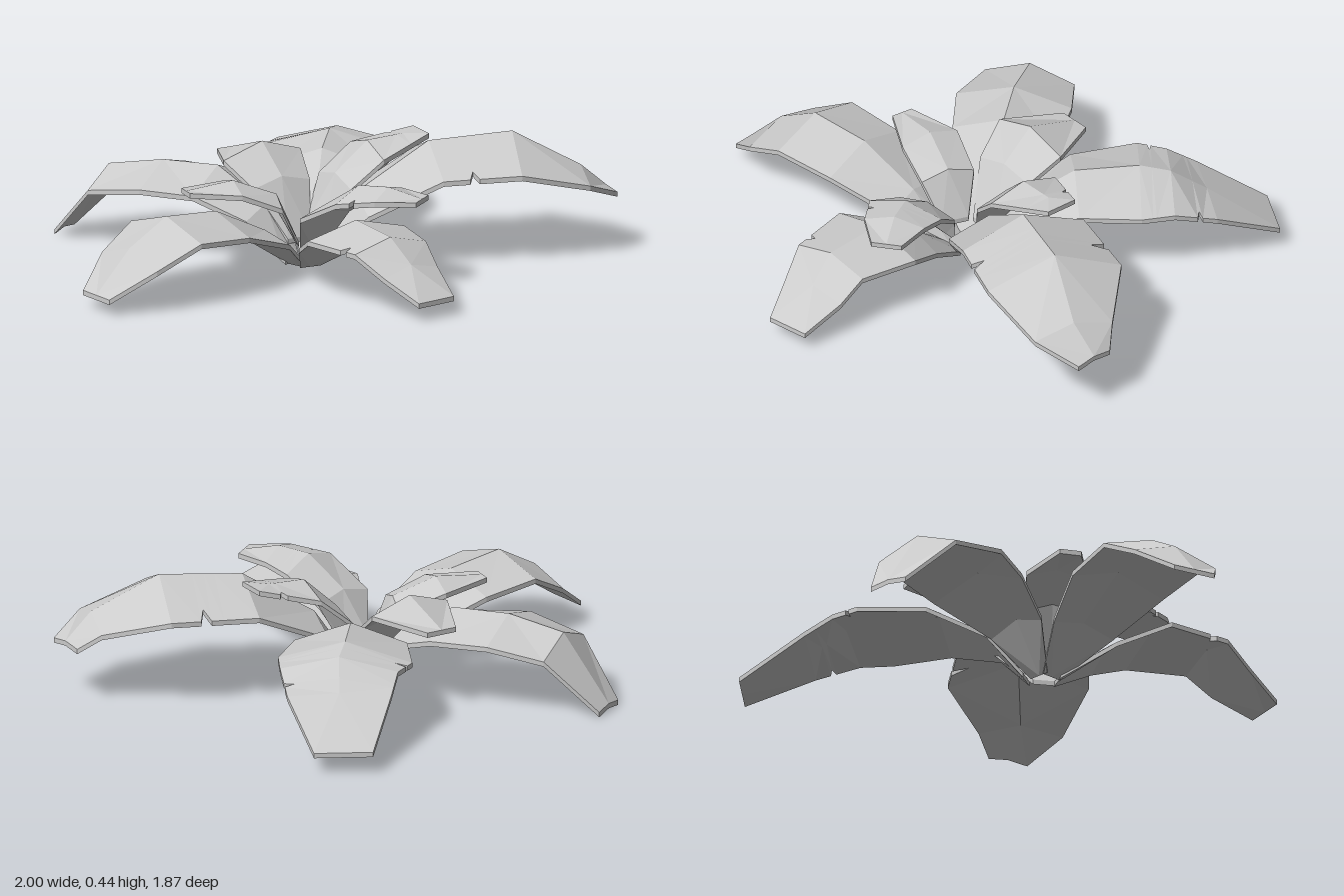
import * as THREE from 'three';

const THICK = 0.018;
const material = new THREE.MeshStandardMaterial({ color: 0xcccccc, flatShading: true });

// Rows along the spine: [x, y, z, half width, droop of the edges].
// Tears: [position counted in rows, side (1 left, -1 right), depth].
function makeLeaf(name, rows, tears = []) {
  const sections = rows.map((r, i) => {
    const a = rows[Math.max(i - 1, 0)], b = rows[Math.min(i + 1, rows.length - 1)];
    const side = new THREE.Vector3(b[2] - a[2], 0, a[0] - b[0]).normalize();
    const mid = new THREE.Vector3(r[0], r[1], r[2]);
    const edge = (s) => mid.clone().addScaledVector(side, s * r[3]).setY(r[1] - r[4]);
    return { at: i, pts: [edge(1), mid, edge(-1)] };
  });

  // Each tear adds three close sections, the middle one cut inwards
  const extra = [];
  for (const [at, s, depth] of tears) {
    for (const d of [-0.06, 0, 0.06]) {
      const i = Math.floor(at + d), f = at + d - i;
      const pts = sections[i].pts.map((p, k) => p.clone().lerp(sections[i + 1].pts[k], f));
      if (d === 0) pts[s > 0 ? 0 : 2].lerp(pts[1], depth);
      extra.push({ at: at + d, pts });
    }
  }
  const all = [...sections, ...extra].sort((a, b) => a.at - b.at);

  // Closed ring of six points per section: three on top, three below
  const pos = [], index = [];
  for (const { pts: [l, m, r] } of all) {
    for (const p of [l, m, r]) pos.push(p.x, p.y, p.z);
    for (const p of [r, m, l]) pos.push(p.x, p.y - THICK, p.z);
  }
  const quad = (a, b, c, d, flip) =>
    flip ? index.push(a, b, d, b, c, d) : index.push(a, b, c, a, c, d);
  for (let i = 0; i < all.length - 1; i++) {
    for (let k = 0; k < 6; k++) {
      const n = (k + 1) % 6, o = i * 6;
      quad(o + k, o + n, o + 6 + n, o + 6 + k, (i + k) % 2);
    }
  }
  const e = (all.length - 1) * 6;
  quad(5, 4, 1, 0);
  quad(4, 3, 2, 1);
  quad(e, e + 1, e + 4, e + 5);
  quad(e + 1, e + 2, e + 3, e + 4);

  const indexed = new THREE.BufferGeometry();
  indexed.setAttribute('position', new THREE.Float32BufferAttribute(pos, 3));
  indexed.setIndex(index);
  const geometry = indexed.toNonIndexed();
  geometry.computeVertexNormals();
  const mesh = new THREE.Mesh(geometry, material);
  mesh.name = name;
  return mesh;
}

export function createModel() {
  const plant = new THREE.Group();
  plant.name = 'leafyPlant';

  // Five large arching leaves
  plant.add(
    makeLeaf('largeLeafLeft', [
      [-0.04, 0.02, 0.16, 0.04, 0], [0.1, 0.25, 0.1, 0.16, 0.05],
      [0.35, 0.42, 0.0, 0.235, 0.09], [0.64, 0.44, -0.085, 0.25, 0.1],
      [0.88, 0.31, -0.13, 0.15, 0.04], [0.965, 0.22, -0.195, 0.075, 0.01],
    ], [[2.6, 1, 0.25], [2.4, -1, 0.18]]),
    makeLeaf('largeLeafRight', [
      [-0.12, 0.02, 0.16, 0.04, 0], [-0.22, 0.2, 0.1, 0.12, 0.04],
      [-0.4, 0.31, 0.0, 0.19, 0.07], [-0.6, 0.31, -0.055, 0.21, 0.06],
      [-0.8, 0.27, -0.13, 0.165, 0.06], [-0.965, 0.03, -0.2, 0.075, 0.01],
    ]),
    makeLeaf('largeLeafBack', [
      [-0.06, 0.03, 0.1, 0.04, 0], [-0.05, 0.2, -0.02, 0.11, 0.03],
      [-0.05, 0.32, -0.22, 0.2, 0.07], [-0.045, 0.33, -0.45, 0.24, 0.07],
      [-0.03, 0.31, -0.56, 0.21, 0.05], [-0.04, 0.22, -0.69, 0.185, 0.01],
      [-0.07, 0.08, -0.93, 0.105, 0],
    ], [[3.4, 1, 0.2], [4.6, -1, 0.18]]),
    makeLeaf('largeLeafFrontRight', [
      [-0.1, 0.02, 0.2, 0.04, 0], [-0.2, 0.17, 0.34, 0.13, 0.03],
      [-0.36, 0.28, 0.5, 0.19, 0.06], [-0.52, 0.3, 0.66, 0.2, 0.06],
      [-0.64, 0.21, 0.77, 0.165, 0.05], [-0.75, 0.06, 0.865, 0.08, 0],
    ]),
    makeLeaf('largeLeafFrontLeft', [
      [-0.05, 0.02, 0.21, 0.04, 0], [0.04, 0.16, 0.36, 0.13, 0.03],
      [0.14, 0.26, 0.5, 0.2, 0.05], [0.28, 0.25, 0.68, 0.155, 0.04],
      [0.36, 0.17, 0.75, 0.125, 0.03], [0.46, 0.07, 0.85, 0.08, 0],
    ], [[2.75, -1, 0.2]]),
  );

  // Four small upright inner leaves
  plant.add(
    makeLeaf('smallLeafBackRight', [
      [-0.1, 0.08, 0.1, 0.05, 0], [-0.17, 0.28, 0.02, 0.12, 0.03],
      [-0.25, 0.38, -0.08, 0.16, 0.05], [-0.375, 0.31, -0.25, 0.06, 0],
    ]),
    makeLeaf('smallLeafBackLeft', [
      [-0.05, 0.1, 0.09, 0.06, 0], [0.02, 0.3, 0.03, 0.13, 0.03],
      [0.13, 0.41, -0.02, 0.14, 0.04], [0.31, 0.42, -0.14, 0.06, 0],
    ], [[2.6, 1, 0.25]]),
    makeLeaf('smallLeafFrontRight', [
      [-0.1, 0.1, 0.2, 0.05, 0], [-0.17, 0.27, 0.22, 0.1, 0.03],
      [-0.32, 0.33, 0.27, 0.11, 0.03], [-0.48, 0.31, 0.355, 0.04, 0],
    ]),
    makeLeaf('smallLeafFrontLeft', [
      [-0.04, 0.1, 0.24, 0.05, 0], [0.01, 0.26, 0.31, 0.12, 0.03],
      [0.14, 0.36, 0.4, 0.14, 0.04], [0.25, 0.37, 0.45, 0.11, 0.03],
      [0.375, 0.34, 0.49, 0.055, 0],
    ], [[2.4, -1, 0.2]]),
  );
  return plant;
}
